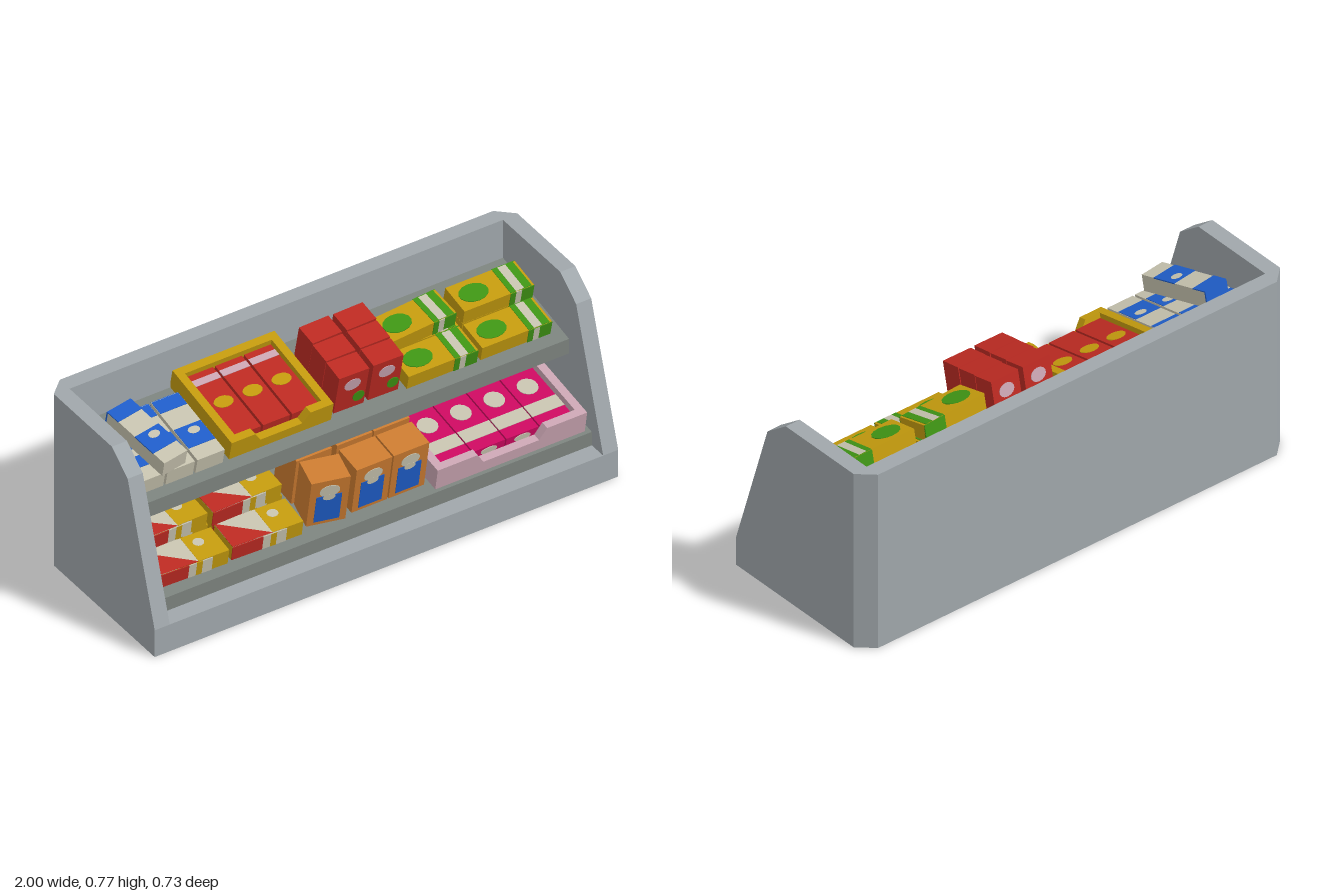
import * as THREE from 'three';

const mat = (name, color) => {
  const m = new THREE.MeshStandardMaterial({ color });
  m.name = name;
  return m;
};
const M = {
  cabinet: mat('cabinet grey', 0xa0a7ab), shelf: mat('shelf grey green', 0x7b827d),
  yellow: mat('yellow', 0xc39a0e), red: mat('red', 0xbc2a22), blue: mat('blue', 0x1f5dc8),
  cream: mat('cream', 0xc6c2ae), orange: mat('orange', 0xcb7b30), green: mat('green', 0x3f9414),
  pink: mat('pale pink', 0xcaa5b2), magenta: mat('magenta', 0xcb0a60),
};

function add(parent, name, geometry, material, x = 0, y = 0, z = 0) {
  const mesh = new THREE.Mesh(geometry, material);
  mesh.name = name;
  mesh.position.set(x, y, z);
  parent.add(mesh);
  return mesh;
}
const box = (w, h, d) => new THREE.BoxGeometry(w, h, d);
const shape = pts => new THREE.Shape(pts.map(p => new THREE.Vector2(...p)));

// Extrudes a (z, y) profile along x, from x0 to x0 + width
function sideExtrude(pts, width, x0) {
  const g = new THREE.ExtrudeGeometry(shape(pts), { depth: width, bevelEnabled: false });
  return g.rotateY(-Math.PI / 2).translate(x0 + width, 0, 0);
}

// A carton with its base centre at (x, y, z); prints are thin plates:
// [face, material, u, v, width, height, kind], u and v measured from the face centre
function carton(parent, name, material, [x, y, z], [w, h, d], prints = [], turn = 0) {
  const g = new THREE.Group();
  g.name = name;
  g.position.set(x, y, z);
  g.rotation.y = turn;
  parent.add(g);
  add(g, name + 'Body', box(w, h, d), material, 0, h / 2, 0);
  prints.forEach(([face, m, u, v, pw, ph, kind], i) => {
    const t = 0.004 + i * 0.0006;
    let geo;
    if (kind === 'round') geo = new THREE.CylinderGeometry(0.5, 0.5, t, 14).scale(pw, 1, ph);
    else if (kind === 'corner') {
      geo = new THREE.ExtrudeGeometry(shape([[-pw / 2, -ph / 2], [pw / 2, -ph / 2], [-pw / 2, ph / 2]]),
        { depth: t, bevelEnabled: false }).translate(0, 0, -t / 2).rotateX(-Math.PI / 2);
    } else geo = box(pw, t, ph);
    if (face === 'top') add(g, 'print', geo, m, u, h, v);
    else {
      geo.rotateX(Math.PI / 2);
      const back = face === 'back' ? -1 : 1;
      add(g, 'print', geo, m, u, h / 2 + v, back * d / 2);
    }
  });
  return g;
}

// Open display crate with a dip in the front wall
function crate(parent, name, material, x, zFront, w, h, d, dip) {
  const g = new THREE.Group(), t = 0.033;
  g.name = name;
  g.position.set(x, 0, zFront);
  parent.add(g);
  add(g, 'crateFloor', box(w, 0.012, d), material, 0, 0.006, -d / 2);
  for (const s of [-1, 1]) add(g, 'crateSide', box(t, h, d - 2 * t), material, s * (w - t) / 2, h / 2, -d / 2);
  add(g, 'crateBack', box(w, h, t), material, 0, h / 2, -d + t / 2);
  const a = w / 2, b = dip / 2;
  const front = shape([[-a, 0], [a, 0], [a, h], [b, h], [b - 0.03, h * 0.5], [0.03 - b, h * 0.5], [-b, h], [-a, h]]);
  add(g, 'crateFront', new THREE.ExtrudeGeometry(front, { depth: t, bevelEnabled: false }), material, 0, 0, -t);
  return g;
}

// Group whose floor is the sloping top of a shelf, origin at its front edge
function shelfTop(parent, name, y, z, rise, run) {
  const g = new THREE.Group();
  g.name = name;
  g.position.set(0, y, z);
  g.rotation.x = Math.atan2(rise, run);
  parent.add(g);
  return g;
}

function buildCabinet(root) {
  const profile = [[0.365, 0], [0.365, 0.12], [0.187, 0.69], [0.083, 0.77], [-0.36, 0.77], [-0.36, 0]];
  for (const x0 of [-1, 0.935]) {
    const g = sideExtrude(profile, 0.065, x0), p = g.attributes.position;
    // Chamfer the outer rear corner
    for (let i = 0; i < p.count; i++) {
      if (Math.abs(p.getX(i)) > 0.99 && p.getZ(i) < -0.35) p.setZ(i, -0.3);
    }
    g.computeVertexNormals();
    add(root, 'sideWall', g, M.cabinet);
  }
  add(root, 'backWall', box(1.87, 0.77, 0.065), M.cabinet, 0, 0.385, -0.3275);
  add(root, 'base', box(1.87, 0.12, 0.585), M.cabinet, 0, 0.06, -0.0025);
  add(root, 'frontApron', box(1.87, 0.12, 0.075), M.cabinet, 0, 0.06, 0.3275);
  add(root, 'lowerShelf', sideExtrude([[0.29, 0.12], [0.29, 0.18], [-0.295, 0.28], [-0.295, 0.12]], 1.87, -0.935), M.shelf);
  add(root, 'upperShelf', sideExtrude([[0.14, 0.44], [0.14, 0.505], [-0.295, 0.6], [-0.295, 0.535]], 1.87, -0.935), M.shelf);
}

function stockUpper(s) {
  // Blue and cream packs, one lying askew on top
  const bluePrint = [['top', M.blue, 0, -0.125, 0.115, 0.06], ['top', M.blue, 0, 0.045, 0.115, 0.1],
    ['top', M.cream, 0.01, 0.025, 0.05, 0.035, 'round'], ['back', M.blue, 0, 0, 0.115, 0.065]];
  for (const x of [-0.845, -0.717, -0.588]) carton(s, 'bluePack', M.cream, [x, 0, -0.205], [0.118, 0.068, 0.315], bluePrint);
  carton(s, 'bluePackTop', M.cream, [-0.775, 0.07, -0.2], [0.112, 0.066, 0.31], bluePrint, 0.16);

  // Yellow crate of red packs
  crate(s, 'yellowCrate', M.yellow, -0.28, -0.05, 0.44, 0.085, 0.4, 0.24);
  for (const x of [-0.405, -0.28, -0.155]) {
    carton(s, 'redPack', M.red, [x, 0.012, -0.25], [0.115, 0.055, 0.325], [
      ['top', M.pink, 0, -0.12, 0.115, 0.03], ['top', M.yellow, 0, 0.0, 0.08, 0.055, 'round']]);
  }

  // Red upright cartons, two columns of three
  for (const x of [0.032, 0.18]) for (let r = 0; r < 3; r++) {
    carton(s, 'redCarton', M.red, [x + (r - 1) * 0.003, 0, -0.115 - r * 0.097], [0.128, 0.182, 0.09], [
      ['front', M.pink, 0, 0.035, 0.07, 0.055, 'round'], ['front', M.green, 0.035, -0.04, 0.05, 0.05, 'round'],
      ['back', M.pink, 0, 0.035, 0.07, 0.055, 'round']], (r - 1) * 0.02);
  }

  // Yellow and green packs, the rear row stacked two high
  const greenPrint = [['top', M.green, 0.095, 0, 0.09, 0.128], ['top', M.cream, 0.09, 0, 0.035, 0.128],
    ['top', M.green, -0.07, 0, 0.12, 0.085, 'round'], ['front', M.green, 0.1, 0, 0.1, 0.062],
    ['front', M.cream, 0.085, 0, 0.025, 0.062], ['back', M.green, 0.1, 0, 0.1, 0.062]];
  for (const x of [0.42, 0.738]) {
    for (const [y, z] of [[0, -0.12], [0, -0.255], [0.064, -0.255]]) {
      const askew = y > 0 && x < 0.5;
      carton(s, 'greenPack', M.yellow, [askew ? x - 0.015 : x, y, z], [0.3, 0.063, 0.13], greenPrint, askew ? 0.07 : 0);
    }
  }
}

function stockLower(s) {
  // Red and yellow packs, the rear row stacked two high
  const redPrint = [['top', M.cream, -0.04, 0, 0.22, 0.13], ['top', M.red, -0.065, 0, 0.17, 0.13, 'corner'],
    ['top', M.yellow, 0.085, 0, 0.13, 0.13], ['top', M.cream, 0.07, -0.02, 0.045, 0.04, 'round'],
    ['front', M.red, -0.085, 0, 0.13, 0.063], ['front', M.cream, 0.03, 0, 0.1, 0.063],
    ['front', M.yellow, 0.025, 0, 0.025, 0.063], ['back', M.red, -0.085, 0, 0.13, 0.063]];
  for (const x of [-0.755, -0.435]) {
    for (const [y, z] of [[0, -0.115], [0, -0.255], [0.066, -0.25]]) {
      carton(s, 'yellowPack', M.yellow, [y > 0 ? x - 0.012 : x, y, z], [0.3, 0.065, 0.13], redPrint, z > -0.2 ? -0.03 : 0.02);
    }
  }

  // Orange upright cartons in two rows
  const orangePrint = [['front', M.blue, 0, -0.03, 0.1, 0.125], ['front', M.cream, 0, 0.055, 0.08, 0.055, 'round'],
    ['front', M.cream, 0, 0.025, 0.05, 0.03, 'round']];
  [-0.165, 0.01, 0.17].forEach((x, i) => {
    carton(s, 'orangeCarton', M.orange, [x, 0, -0.115], [0.153, 0.215, 0.12], orangePrint, i === 0 ? -0.2 : 0);
    carton(s, 'orangeCartonRear', M.orange, [x + 0.005, 0, -0.255], [0.153, 0.215, 0.12], orangePrint);
  });

  // Pink crate of magenta packs
  crate(s, 'pinkCrate', M.pink, 0.592, -0.015, 0.645, 0.095, 0.43, 0.3);
  for (let i = 0; i < 4; i++) {
    carton(s, 'magentaPack', M.magenta, [0.376 + i * 0.144, 0.012, -0.23], [0.138, 0.06, 0.35], [
      ['top', M.cream, 0, 0.095, 0.138, 0.06], ['top', M.cream, 0, -0.015, 0.08, 0.08, 'round'],
      ['top', M.cream, 0, -0.14, 0.138, 0.04], ['front', M.cream, 0, 0.01, 0.07, 0.03, 'round']]);
  }
}

export function createModel() {
  const root = new THREE.Group();
  root.name = 'displayShelf';
  buildCabinet(root);
  stockUpper(shelfTop(root, 'upperStock', 0.505, 0.14, 0.095, 0.435));
  stockLower(shelfTop(root, 'lowerStock', 0.18, 0.29, 0.1, 0.585));
  return root;
}
